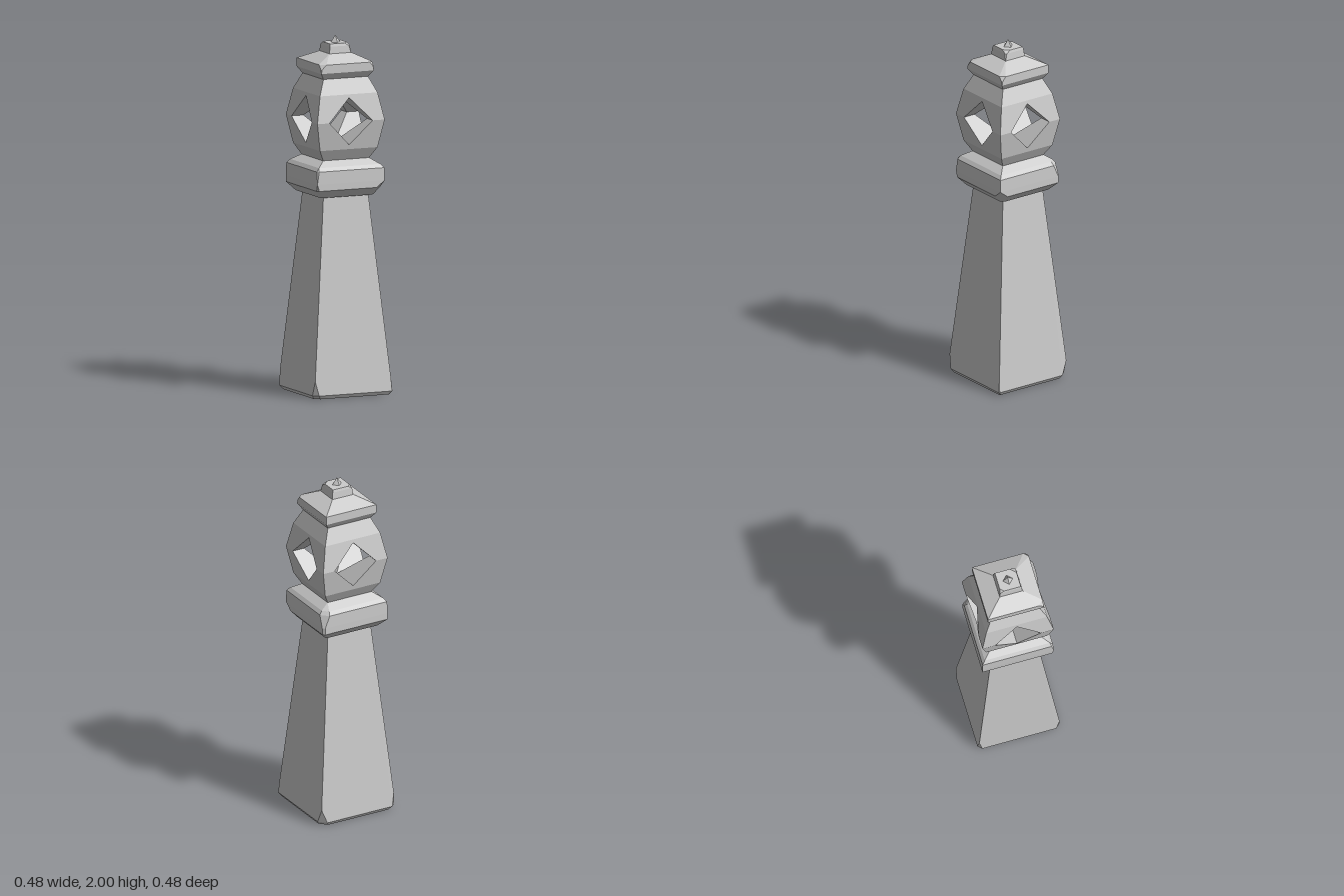
import * as THREE from 'three';
import { ConvexGeometry } from 'three/addons/geometries/ConvexGeometry.js';

const material = new THREE.MeshStandardMaterial({ color: 0xcccccc, flatShading: true });

// Square block from levels [y, halfWidth, corner chips in order ++, +-, --, -+ (x, z)]
function block(name, levels) {
  const signs = [[1, 1], [1, -1], [-1, -1], [-1, 1]];
  const points = [];
  for (const [y, w, chips = [0, 0, 0, 0]] of levels) {
    signs.forEach(([sx, sz], i) => {
      const c = chips[i];
      points.push(new THREE.Vector3(sx * w, y, sz * (w - c)));
      if (c > 0) points.push(new THREE.Vector3(sx * (w - c), y, sz * w));
    });
  }
  const mesh = new THREE.Mesh(new ConvexGeometry(points), material);
  mesh.name = name;
  return mesh;
}

// One side of the lantern: bulging wall with a diamond opening and its tunnel
function lanternSideGeometry() {
  const mid = 1.54, r = 0.132;
  const profile = [[1.32, 0.14], [1.383, 0.176], [mid, 0.206], [1.69, 0.176], [1.78, 0.135]];
  const width = (y) => {
    const i = Math.max(1, profile.findIndex((p) => p[0] >= y));
    const [y0, w0] = profile[i - 1], [y1, w1] = profile[i];
    return w0 + (w1 - w0) * (y - y0) / (y1 - y0);
  };
  const positions = [];
  const quad = (a, b, c, d) => positions.push(...a, ...b, ...c, ...a, ...c, ...d);

  // Outer wall in rows, split left and right of the opening
  const rows = [1.32, 1.383, mid - r, mid, mid + r, 1.69, 1.78];
  const hole = (y) => Math.max(0, r - Math.abs(y - mid));
  for (let i = 0; i < rows.length - 1; i++) {
    const y0 = rows[i], y1 = rows[i + 1], w0 = width(y0), w1 = width(y1);
    quad([hole(y0), y0, w0], [w0, y0, w0], [w1, y1, w1], [hole(y1), y1, w1]);
    quad([-w0, y0, w0], [-hole(y0), y0, w0], [-hole(y1), y1, w1], [-w1, y1, w1]);
  }

  // Tunnel walls, mitred where the two tunnels cross
  for (const sx of [1, -1]) for (const sy of [1, -1]) {
    const y = mid + sy * r;
    const q = [[0, y, width(y)], [0, y, 0], [sx * r, mid, r], [sx * r, mid, width(mid)]];
    if (sx * sy < 0) q.reverse();
    quad(...q);
  }
  const g = new THREE.BufferGeometry();
  g.setAttribute('position', new THREE.Float32BufferAttribute(positions, 3));
  g.computeVertexNormals();
  return g;
}

export function createModel() {
  const model = new THREE.Group();
  model.name = 'stoneLantern';

  // Tapered shaft with worn foot corners
  model.add(block('shaft', [
    [0, 0.226, [0.006, 0.04, 0.03, 0.03]],
    [0.02, 0.239, [0.004, 0.04, 0.022, 0.028]],
    [0.1, 0.2312],
    [1.13, 0.136],
  ]));

  // Collar between shaft and lantern
  model.add(block('collar', [
    [1.117, 0.165, [0.02, 0.01, 0, 0]],
    [1.162, 0.206, [0.05, 0.012, 0, 0.012]],
    [1.2, 0.206, [0, 0.012, 0, 0]],
    [1.27, 0.204, [0, 0.04, 0, 0.01]],
    [1.29, 0.188, [0, 0.03, 0, 0]],
    [1.322, 0.14],
  ]));

  // Pierced lantern
  const lantern = new THREE.Group();
  lantern.name = 'lantern';
  const side = lanternSideGeometry();
  for (let i = 0; i < 4; i++) {
    const wall = new THREE.Mesh(side, material);
    wall.name = 'lanternSide';
    wall.rotation.y = i * Math.PI / 2;
    lantern.add(wall);
  }
  model.add(lantern);

  // Roof with chipped front corners
  model.add(block('roof', [
    [1.777, 0.137],
    [1.812, 0.161],
    [1.835, 0.161, [0.005, 0, 0, 0.005]],
    [1.86, 0.161, [0.025, 0, 0, 0.03]],
    [1.906, 0.068],
  ]));

  // Small square top block
  model.add(block('topBlock', [
    [1.9, 0.067],
    [1.945, 0.062, [0.008, 0, 0, 0]],
    [1.96, 0.058, [0.03, 0, 0.02, 0]],
  ]));

  // Pointed finial
  const finial = new THREE.Mesh(new THREE.ConeGeometry(0.03, 0.042, 4), material);
  finial.name = 'finial';
  finial.position.y = 1.979;
  model.add(finial);

  return model;
}
